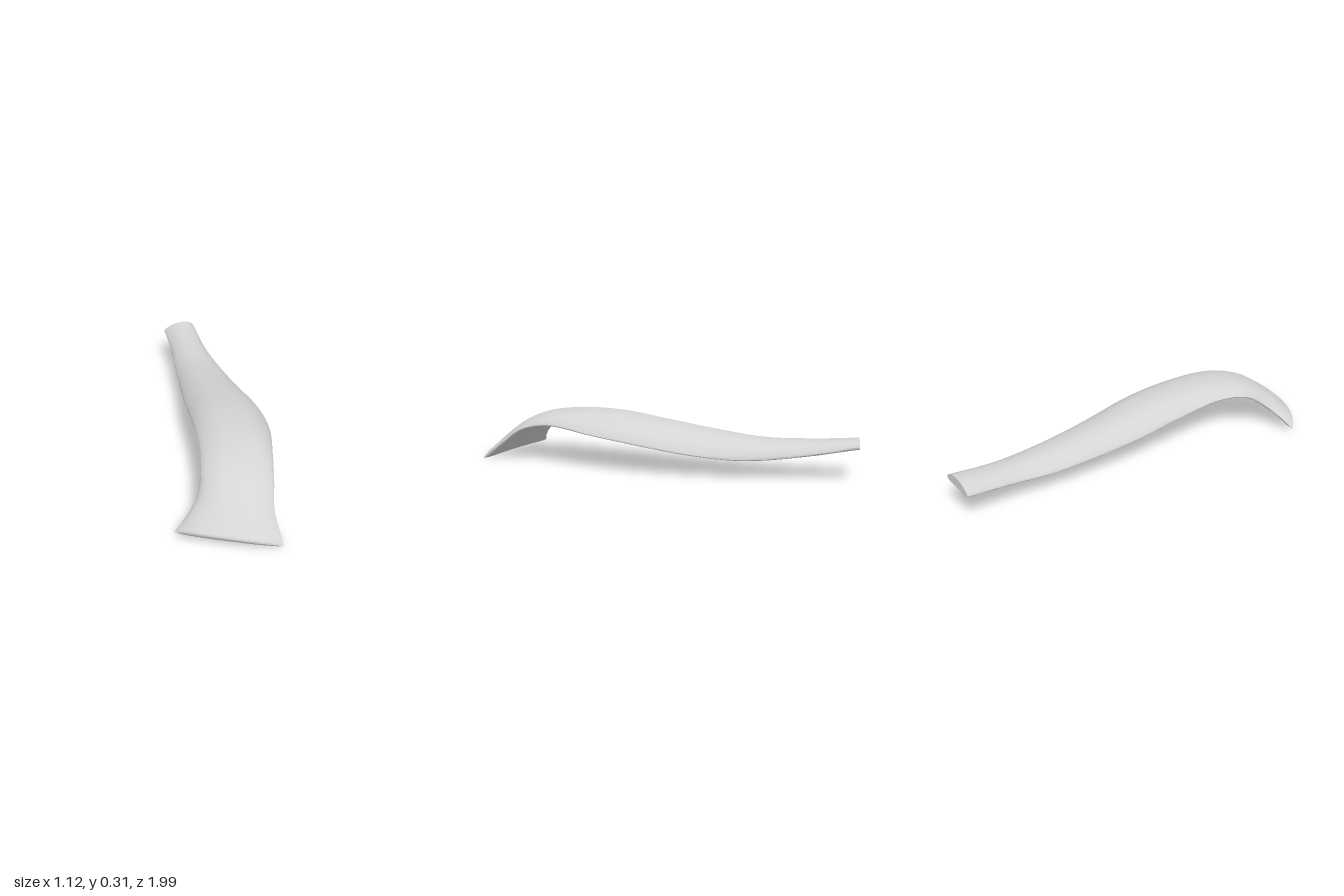
import * as THREE from 'three';
import { toCreasedNormals } from 'three/addons/utils/BufferGeometryUtils.js';

// Stations from the narrow back end to the flared foot: [left edge, crown, right edge]
const STATIONS = [
  [[-0.56, 0.19, -0.90], [-0.47, 0.24, -0.95], [-0.39, 0.21, -1.00]],
  [[-0.45, 0.165, -0.69], [-0.35, 0.22, -0.74], [-0.24, 0.155, -0.76]],
  [[-0.36, 0.15, -0.47], [-0.20, 0.215, -0.50], [-0.06, 0.122, -0.51]],
  [[-0.27, 0.16, -0.25], [-0.08, 0.245, -0.25], [0.10, 0.14, -0.28]],
  [[-0.17, 0.19, 0.00], [0.05, 0.288, 0.00], [0.26, 0.185, -0.01]],
  [[-0.06, 0.235, 0.25], [0.15, 0.32, 0.25], [0.36, 0.22, 0.23]],
  [[0.05, 0.265, 0.50], [0.25, 0.315, 0.50], [0.425, 0.245, 0.50]],
  [[0.11, 0.235, 0.69], [0.29, 0.27, 0.70], [0.465, 0.205, 0.67]],
  [[0.125, 0.155, 0.81], [0.30, 0.175, 0.86], [0.495, 0.12, 0.80]],
  [[0.09, 0.085, 0.90], [0.30, 0.10, 0.95], [0.54, 0.05, 0.875]],
  [[0.05, 0.035, 0.955], [0.30, 0.06, 0.995], [0.56, 0.015, 0.91]],
];
const ROWS = 80, COLS = 24;

function archedStripGeometry() {
  const [left, crown, right] = [0, 1, 2].map(
    (k) => new THREE.CatmullRomCurve3(STATIONS.map((s) => new THREE.Vector3(...s[k]))));
  const pos = [], idx = [], ring = 2 * (COLS + 1);

  for (let i = 0; i <= ROWS; i++) {
    const t = i / ROWS;
    const L = left.getPoint(t), M = crown.getPoint(t), R = right.getPoint(t);
    const across = R.clone().sub(L).normalize();
    const normal = crown.getTangent(t).cross(across).normalize();
    const bulge = M.clone().sub(L.clone().add(R).multiplyScalar(0.5));
    // the foot lip is rounded off over the last rows
    const q = THREE.MathUtils.clamp((t - 0.96) / 0.04, 0, 1);
    const round = 0.4 * (1 - Math.sqrt(1 - q * q));
    const outer = [], inner = [];
    for (let j = 0; j <= COLS; j++) {
      const u = Math.sin((j / COLS - 0.5) * Math.PI);
      const chord = L.clone().lerp(R, (u + 1) / 2);
      // domed top with blunt edges, almost flat underside
      const dome = Math.max(0, 1 - Math.abs(u) ** 2.4) ** 0.8;
      const belly = Math.sqrt(Math.max(0, 1 - u ** 6));
      const top = chord.clone().addScaledVector(bulge, dome);
      const under = chord.addScaledVector(bulge, 0.2 * dome).addScaledVector(normal, -0.02 * belly);
      outer.push(top.clone().lerp(under, round));
      inner.push(under.clone().lerp(top, round));
    }
    for (const p of [...outer, ...inner.reverse()]) pos.push(p.x, p.y, p.z);
  }

  // skin around every pair of neighbouring sections
  for (let i = 0; i < ROWS; i++) {
    for (let j = 0; j < ring; j++) {
      const a = i * ring + j, b = i * ring + (j + 1) % ring;
      idx.push(a, a + ring, b, b, a + ring, b + ring);
    }
  }
  // end caps
  const last = ROWS * ring;
  for (let j = 0; j < COLS; j++) {
    const a = j, b = j + 1, c = ring - 1 - j, d = ring - 2 - j;
    idx.push(a, b, c, b, d, c);
    idx.push(last + a, last + c, last + b, last + b, last + c, last + d);
  }

  const geo = new THREE.BufferGeometry();
  geo.setAttribute('position', new THREE.Float32BufferAttribute(pos, 3));
  geo.setIndex(idx);
  // centre over the origin and rest on the ground
  geo.computeBoundingBox();
  const { min, max } = geo.boundingBox;
  geo.translate(-(min.x + max.x) / 2, -min.y, -(min.z + max.z) / 2);
  return toCreasedNormals(geo, 0.9);
}

export function createModel() {
  const grey = new THREE.MeshStandardMaterial({ color: 0xd4d4d4 });
  grey.name = 'light grey';
  const group = new THREE.Group();
  group.name = 'curvedStrip';
  const strip = new THREE.Mesh(archedStripGeometry(), grey);
  strip.name = 'archedStrip';
  group.add(strip);
  return group;
}
